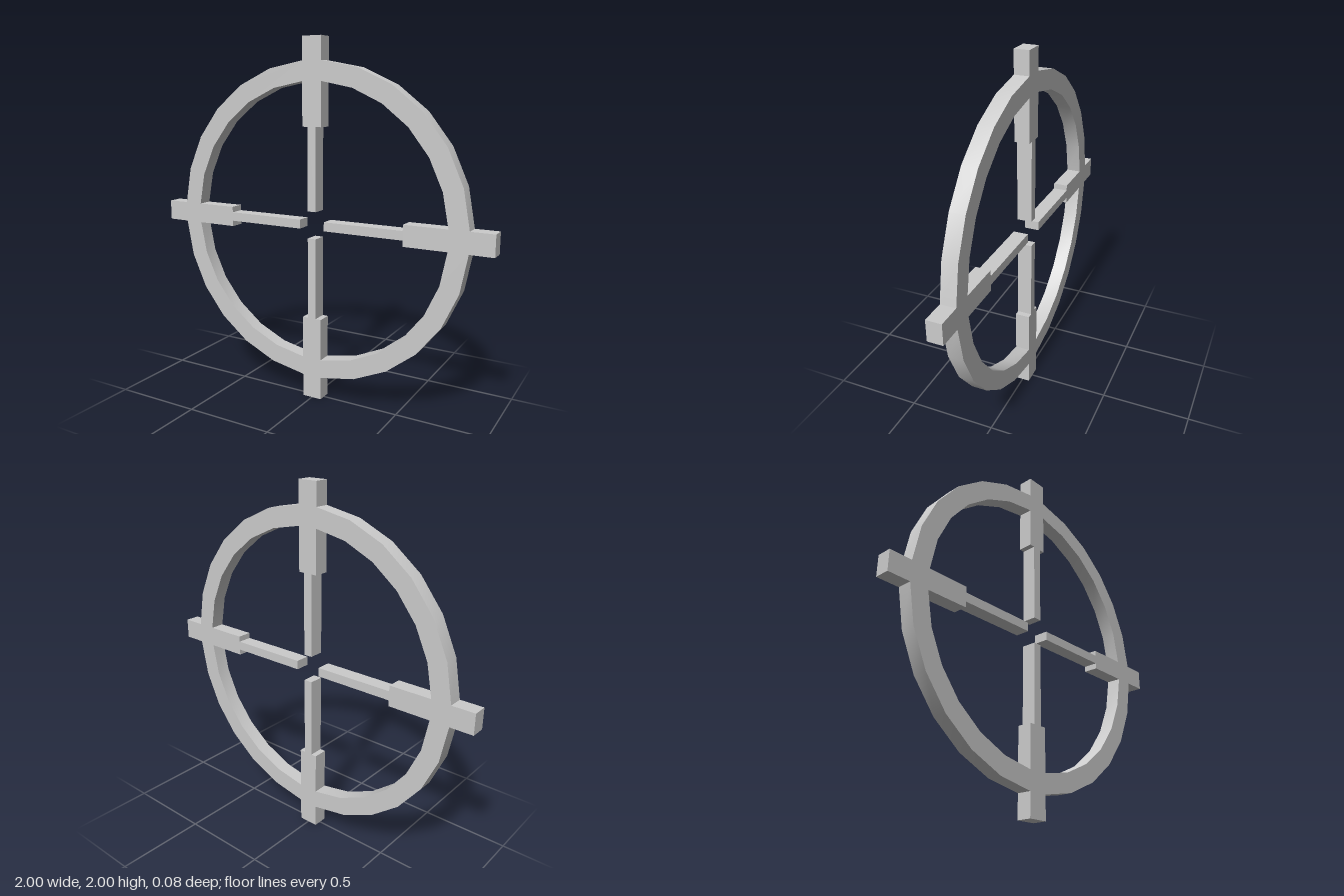
import * as THREE from 'three';
import { toCreasedNormals } from 'three/addons/utils/BufferGeometryUtils.js';

const DEPTH = 0.082;
const CENTER_Y = 1.003;
const ARM_HALF = 0.057;
const BAR_HALF = 0.025;
const material = new THREE.MeshStandardMaterial({ color: 0xcccccc });

// Extrudes an outline, centred on z = 0
function plate(name, points) {
  const geometry = new THREE.ExtrudeGeometry(new THREE.Shape(points), {
    depth: DEPTH, bevelEnabled: false,
  });
  geometry.translate(0, 0, -DEPTH / 2);
  const mesh = new THREE.Mesh(toCreasedNormals(geometry, 0.4), material);
  mesh.name = name;
  return mesh;
}

// Arc in the first quadrant, running between the edges of two arms
function quarterArc(radius, segments = 6) {
  const start = Math.asin(ARM_HALF / radius);
  const sweep = Math.PI / 2 - 2 * start;
  return Array.from({ length: segments + 1 }, (_, i) => {
    const a = start + (sweep * i) / segments;
    return new THREE.Vector2(radius * Math.cos(a), radius * Math.sin(a));
  });
}

// Wide outer arm stepping down to a thin inner bar, along +x
function armOutline(length) {
  const upper = [[0.075, BAR_HALF], [0.53, BAR_HALF], [0.53, ARM_HALF], [length, ARM_HALF]];
  const lower = upper.map(([x, y]) => [x, -y]);
  return [...lower, ...upper.reverse()].map(([x, y]) => new THREE.Vector2(x, y));
}

export function createModel() {
  const model = new THREE.Group();
  model.name = 'crosshair';

  const ringOutline = [...quarterArc(0.875), ...quarterArc(0.769).reverse()];
  const arms = [
    ['leftArm', 1],
    ['topArm', 2 - CENTER_Y],
    ['rightArm', 1],
    ['bottomArm', CENTER_Y],
  ];

  // One arm and one ring quarter per quadrant
  arms.forEach(([name, length], i) => {
    const arm = plate(name, armOutline(length));
    const ring = plate(`ringQuarter${i + 1}`, ringOutline);
    for (const part of [arm, ring]) {
      part.rotation.z = (i * Math.PI) / 2;
      part.position.y = CENTER_Y;
      model.add(part);
    }
  });
  return model;
}
